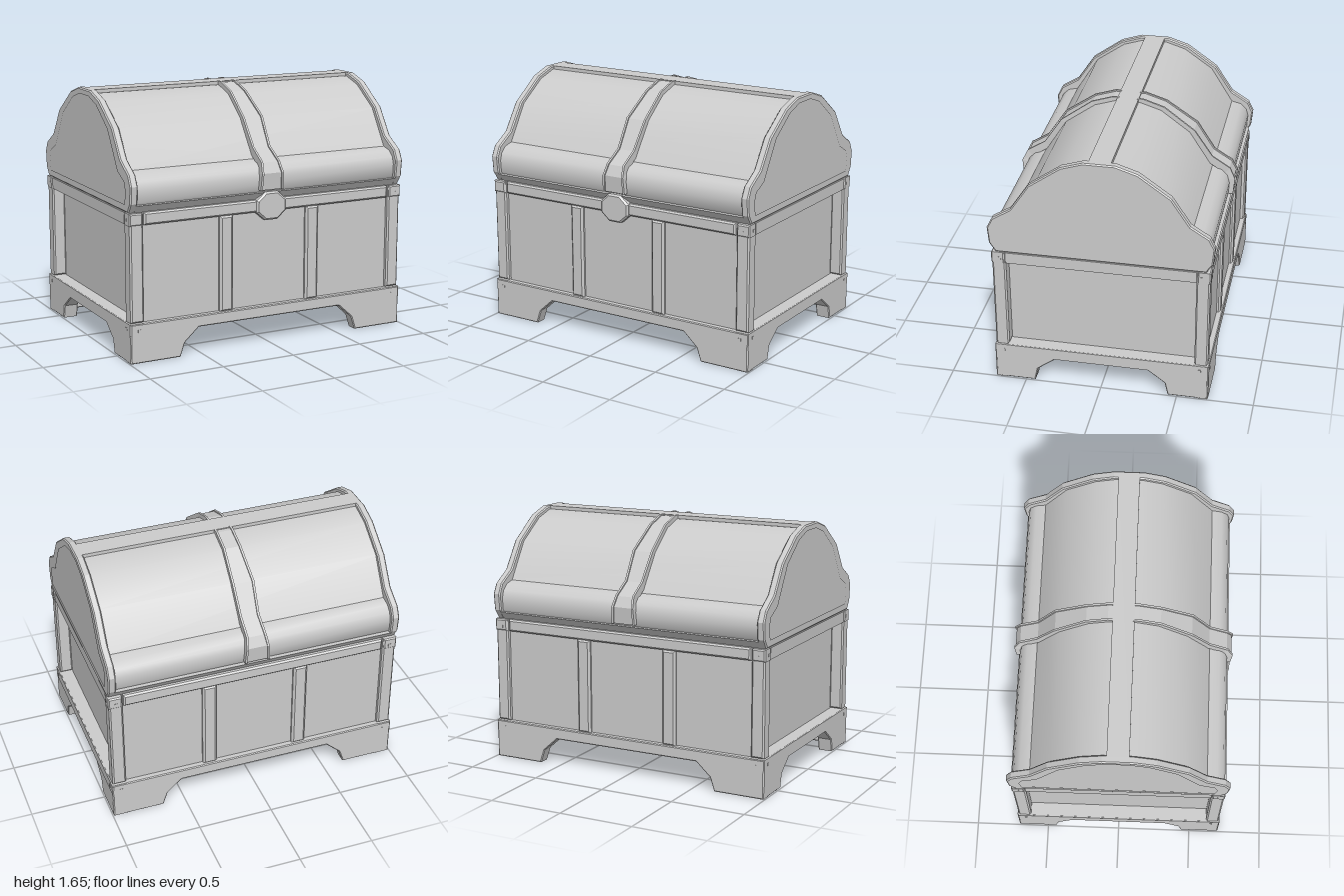
import * as THREE from 'three';
import { toCreasedNormals } from 'three/addons/utils/BufferGeometryUtils.js';

const mat = new THREE.MeshStandardMaterial({ color: 0xcccccc, flatShading: true });
const smoothMat = new THREE.MeshStandardMaterial({ color: 0xcccccc });
const strapMat = new THREE.MeshStandardMaterial({ color: 0xcccccc, flatShading: true, side: THREE.DoubleSide });

// Half outlines of the lid as [z, y], crown to bottom edge: outer rim, barrel, sunken end panel
const LID = [[0.1, 1.645], [0.24, 1.6], [0.445, 1.455], [0.565, 1.275], [0.685, 1.2], [0.72, 1.13], [0.71, 1.02], [0.67, 0.96]];
const BARREL = [[0.085, 1.622], [0.22, 1.58], [0.415, 1.445], [0.567, 1.203], [0.632, 1.187], [0.672, 1.15], [0.687, 1.1], [0.682, 1.02], [0.66, 0.99]];
const PANEL = [[0.075, 1.615], [0.2, 1.575], [0.38, 1.445], [0.527, 1.205], [0.625, 1.155], [0.648, 1.09], [0.632, 1.0]];

const toShape = (pts) => new THREE.Shape(pts.map(([a, b]) => new THREE.Vector2(a, b)));
const mirrored = (pts) => [...pts, ...pts.map(([a, b]) => [-a, b]).reverse()];

// Prism with small chamfers and an optional hole, centred on its depth axis (z)
function prism(pts, depth, bevel = 0, hole = null) {
  const shape = toShape(pts);
  if (hole) shape.holes.push(toShape(hole));
  const g = new THREE.ExtrudeGeometry(shape, {
    depth: depth - 2 * bevel, bevelEnabled: bevel > 0, bevelThickness: bevel,
    bevelSize: bevel, bevelOffset: -bevel, bevelSegments: 1,
  });
  return g.translate(0, 0, -(depth - 2 * bevel) / 2);
}

function add(parent, name, geo, x = 0, y = 0, z = 0, material = mat) {
  const m = new THREE.Mesh(geo, material);
  m.name = name;
  m.position.set(x, y, z);
  parent.add(m);
  return m;
}

// Chamfered box
function block(w, h, d, bevel = 0.008) {
  return prism([[-w / 2, -h / 2], [w / 2, -h / 2], [w / 2, h / 2], [-w / 2, h / 2]], d, bevel);
}

// Board with two bracket feet and a raised middle
function skirt(half, foot, depth) {
  return prism([[-half, 0], ...foot.map(([a, b]) => [-a, b]), ...[...foot].reverse(), [half, 0], [half, 0.255], [-half, 0.255]], depth, 0.006);
}

// Wavy strap with raised borders, swept down the lid outline
function strapGeometry() {
  const path = [[0.06, 1.645], ...LID.slice(0, 7)];
  const widths = [0.046, 0.046, 0.047, 0.06, 0.052, 0.054, 0.064, 0.07];
  const pos = [], idx = [], n = 8;
  path.forEach(([z, y], i) => {
    const [z0, y0] = path[Math.max(i - 1, 0)], [z1, y1] = path[Math.min(i + 1, path.length - 1)];
    const len = Math.hypot(z1 - z0, y1 - y0), nz = (y0 - y1) / len, ny = (z1 - z0) / len;
    const w = widths[i], o = w + 0.014;
    const section = [[-o, -0.05], [-o, 0.003], [-w, 0.003], [-w, -0.006], [w, -0.006], [w, 0.003], [o, 0.003], [o, -0.05]];
    section.forEach(([x, h]) => pos.push(x, y + ny * h, z + nz * h));
    for (let j = 0; i > 0 && j < n - 1; j++) {
      const a = (i - 1) * n + j, b = a + n;
      idx.push(a, b, a + 1, a + 1, b, b + 1);
    }
  });
  // Closing faces at the lower end
  const e = (path.length - 1) * n;
  idx.push(e, e + 2, e + 1, e, e + 3, e + 2, e, e + 7, e + 3, e + 3, e + 7, e + 4, e + 4, e + 7, e + 5, e + 5, e + 7, e + 6);
  const g = new THREE.BufferGeometry();
  g.setAttribute('position', new THREE.Float32BufferAttribute(pos, 3));
  g.setIndex(idx);
  g.computeVertexNormals();
  return g;
}

function buildBase() {
  const base = new THREE.Group();
  base.name = 'base';
  for (const s of [1, -1]) {
    add(base, 'longSkirt', skirt(0.993, [[0.65, 0], [0.62, 0.09], [0.52, 0.18]], 0.08), 0, 0, s * 0.664);
    add(base, 'sideSkirt', skirt(0.7, [[0.44, 0], [0.42, 0.09], [0.3, 0.18]], 0.1), s * 0.944).rotation.y = Math.PI / 2;
    add(base, 'sideBand', block(0.04, 0.075, 1.406, 0.006), s * 0.976, 0.217, 0);
  }
  add(base, 'floor', new THREE.BoxGeometry(1.8, 0.07, 1.26), 0, 0.215, 0);
  return base;
}

function buildBody() {
  const body = new THREE.Group();
  body.name = 'body';
  add(body, 'walls', new THREE.BoxGeometry(1.8, 0.7, 1.33), 0, 0.6, 0);
  for (const s of [1, -1]) {
    for (const t of [1, -1]) {
      add(body, 'cornerPost', block(0.09, 0.69, 0.088, 0.01), s * 0.943, 0.605, t * 0.652);
      add(body, 'cornerBlock', block(0.09, 0.078, 0.085), s * 0.947, 0.919, t * 0.658);
      // Nail heads on both faces of the corner
      for (const [y, x, front, side] of [[0.908, 0.942, 0.697, 0.988], [0.21, 0.935, 0.7, 0.993]]) {
        add(body, 'nail', new THREE.BoxGeometry(0.018, 0.018, 0.012), s * x, y, t * front);
        add(body, 'nail', new THREE.BoxGeometry(0.012, 0.018, 0.018), s * side, y + 0.008, t * 0.645);
      }
    }
    // Rails and stiles
    add(body, 'longRail', block(1.78, 0.08, 0.05, 0.011), 0, 0.919, s * 0.672);
    add(body, 'sideRail', block(0.1, 0.075, 1.24, 0.011), s * 0.937, 0.917, 0);
    for (const x of [0.315, -0.315])
      add(body, 'stile', block(0.095, 0.63, 0.05, 0.014), x, 0.565, s * 0.666);
  }
  return body;
}

function buildLid() {
  const lid = new THREE.Group();
  lid.name = 'lid';
  const turn = (g) => g.rotateY(Math.PI / 2);
  add(lid, 'lidBarrel', toCreasedNormals(turn(prism(mirrored(BARREL), 1.97)), 0.7), 0, 0, 0, smoothMat);
  // Sill under the barrel, tapering in towards the body
  add(lid, 'lidSill', turn(prism(mirrored([[0.7, 1.005], [0.665, 0.955]]), 1.956)));
  add(lid, 'ridgeBeam', new THREE.BoxGeometry(1.9, 0.04, 0.14), 0, 1.625, 0);
  for (const s of [1, -1]) {
    add(lid, 'endRim', turn(prism(mirrored(LID), 0.051, 0.008, mirrored(PANEL))), s * 0.965);
    const strap = add(lid, 'strap', strapGeometry(), 0, 0, 0, strapMat);
    if (s < 0) strap.rotation.y = Math.PI;
  }
  return lid;
}

export function createModel() {
  const chest = new THREE.Group();
  chest.name = 'chest';
  chest.add(buildBase(), buildBody(), buildLid());
  // Octagonal clasp on the front
  const ring = Array.from({ length: 8 }, (_, i) => {
    const a = (i + 0.5) * Math.PI / 4;
    return [Math.cos(a) * 0.115, Math.sin(a) * 0.1];
  });
  add(chest, 'clasp', prism(ring, 0.08, 0.012), 0, 0.916, 0.672);
  return chest;
}
